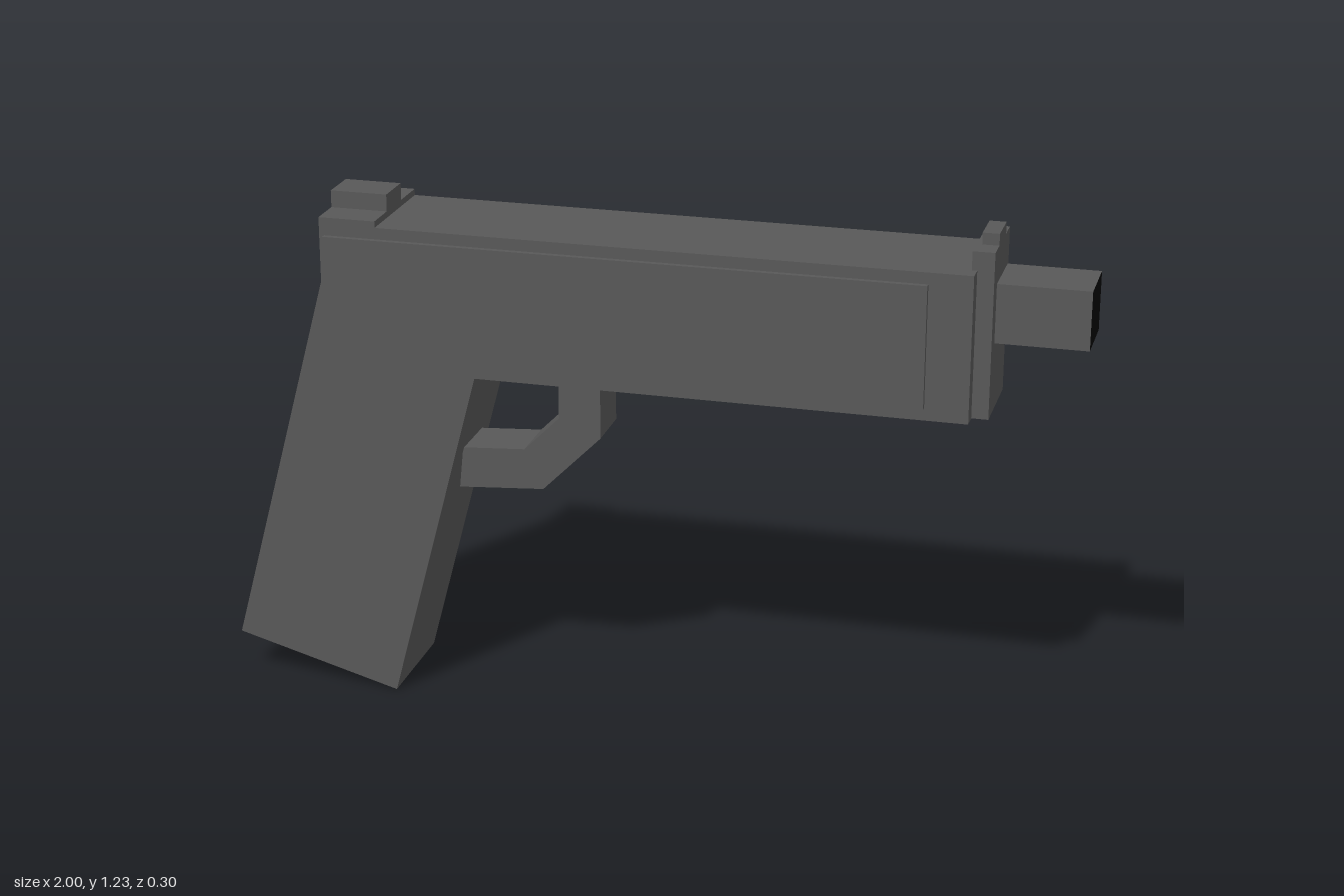
import * as THREE from 'three';

export function createModel() {
  const model = new THREE.Group();
  const gunmetal = new THREE.MeshStandardMaterial({ color: 0x585858 });
  gunmetal.name = 'gunmetal grey';
  const bore = new THREE.MeshStandardMaterial({ color: 0x050505 });
  bore.name = 'bore black';

  const add = (name, geometry, material = gunmetal) => {
    const mesh = new THREE.Mesh(geometry, material);
    mesh.name = name;
    model.add(mesh);
  };

  // Box given by its limits along each axis
  const block = (name, [x0, x1], [y0, y1], [z0, z1], material) => {
    const g = new THREE.BoxGeometry(x1 - x0, y1 - y0, z1 - z0);
    g.translate((x0 + x1) / 2, (y0 + y1) / 2, (z0 + z1) / 2);
    add(name, g, material);
  };

  // Side outline extruded across the width
  const profile = (name, points, z0, z1) => {
    const shape = new THREE.Shape(points.map(([x, y]) => new THREE.Vector2(x, y)));
    const g = new THREE.ExtrudeGeometry(shape, { depth: z1 - z0, bevelEnabled: false });
    g.translate(0, 0, z0);
    add(name, g);
  };

  // Slide with a thin raised panel on each side
  block('slide', [-0.755, 0.752], [0.815, 1.157], [-0.137, 0.138]);
  block('leftPanel', [-0.743, 0.653], [0.845, 1.13], [0.13, 0.151]);
  block('rightPanel', [-0.743, 0.653], [0.845, 1.13], [-0.15, -0.13]);

  // Raked grip, its top hidden inside the slide
  profile('grip', [
    [-1, 0.108], [-0.605, 0], [-0.39, 0.815], [-0.39, 0.9], [-0.75, 1.03], [-0.755, 1.02],
  ], -0.136, 0.137);

  // Trigger guard
  profile('triggerGuard', [
    [-0.11, 0.83], [-0.21, 0.83], [-0.21, 0.71], [-0.295, 0.625],
    [-0.445, 0.615], [-0.455, 0.515], [-0.25, 0.53], [-0.11, 0.67],
  ], -0.066, 0.068);

  // Rear sight on its base
  block('rearSightBase', [-0.755, -0.62], [1.1, 1.172], [-0.137, 0.138]);
  block('rearSight', [-0.755, -0.62], [1.16, 1.212], [-0.043, 0.055]);

  // Muzzle plate and front sight
  block('muzzlePlate', [0.74, 0.79], [0.815, 1.2], [-0.108, 0.097]);
  block('frontSight', [0.752, 0.79], [1.19, 1.227], [-0.052, 0.042]);

  // Barrel with a dark end face
  block('barrel', [0.78, 1], [0.98, 1.117], [-0.097, 0.056],
    [bore, gunmetal, gunmetal, gunmetal, gunmetal, gunmetal]);

  return model;
}
